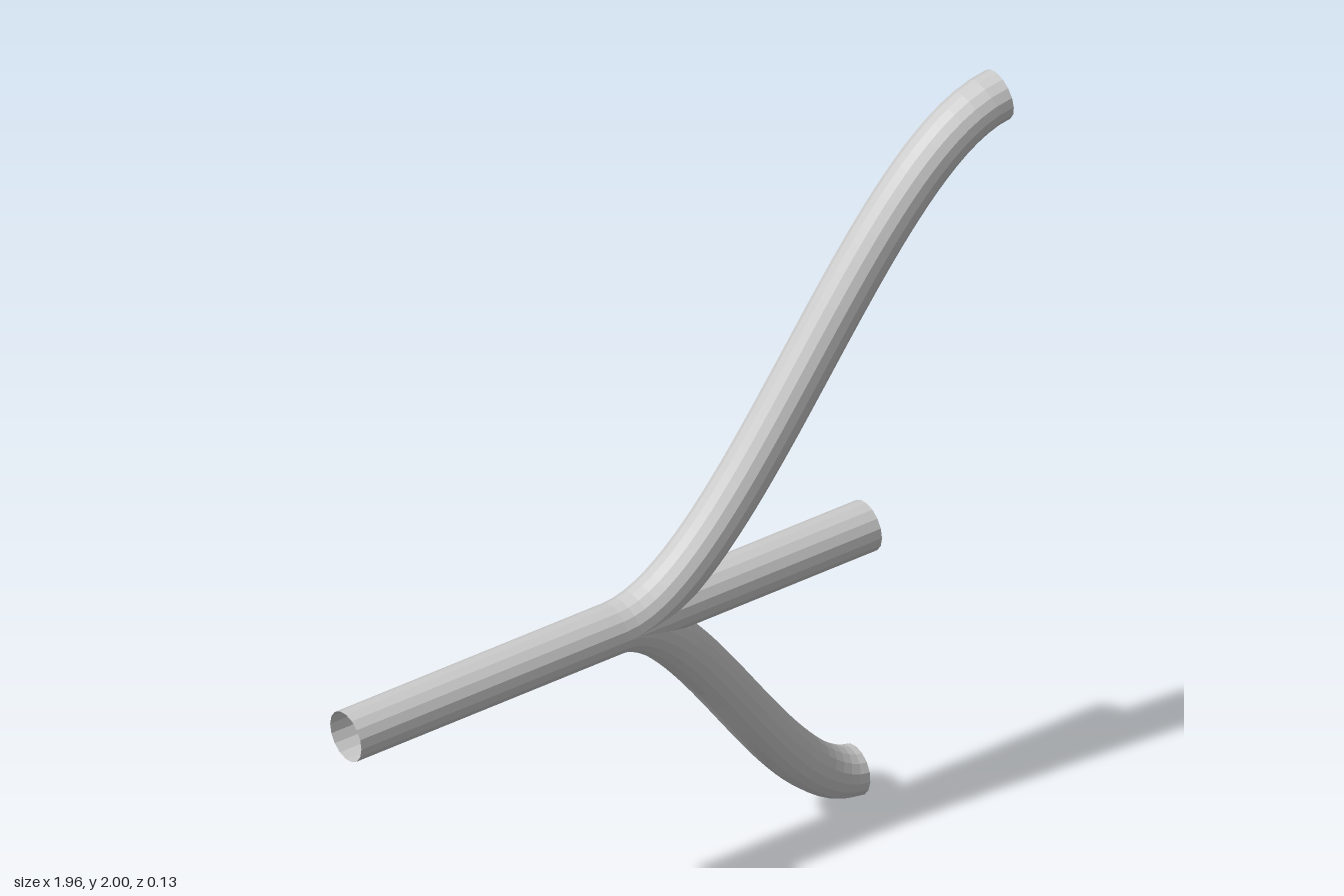
import * as THREE from 'three';

const RADIUS = 0.067;
const SIDES = 16;
const AXIS_Y = 0.793;
const FORK_X = -0.18;

const material = new THREE.MeshStandardMaterial({
  color: 0xcccccc, flatShading: true, side: THREE.DoubleSide,
});

// Open-ended pipe along a curve
function pipe(name, curve, segments) {
  const mesh = new THREE.Mesh(
    new THREE.TubeGeometry(curve, segments, RADIUS, SIDES, false), material);
  mesh.name = name;
  return mesh;
}

// S-shaped branch leaving the main pipe level and almost levelling out at its end
function branchCurve(endX, endY) {
  const handle = (endX - FORK_X) / 3;
  const tilt = Math.sign(endY - AXIS_Y) * 0.07;
  return new THREE.CubicBezierCurve3(
    new THREE.Vector3(FORK_X, AXIS_Y, 0),
    new THREE.Vector3(FORK_X + handle, AXIS_Y, 0),
    new THREE.Vector3(endX - handle, endY - handle * tilt, 0),
    new THREE.Vector3(endX, endY, 0));
}

export function createModel() {
  const group = new THREE.Group();
  group.name = 'branchingPipe';

  // Straight main pipe
  group.add(pipe('mainPipe', new THREE.LineCurve3(
    new THREE.Vector3(-0.98, AXIS_Y, 0), new THREE.Vector3(0.58, AXIS_Y, 0)), 1));

  // Long branch rising, short branch falling
  group.add(pipe('upperBranch', branchCurve(0.975, 1.933), 40));
  group.add(pipe('lowerBranch', branchCurve(0.545, 0.07), 32));

  return group;
}
